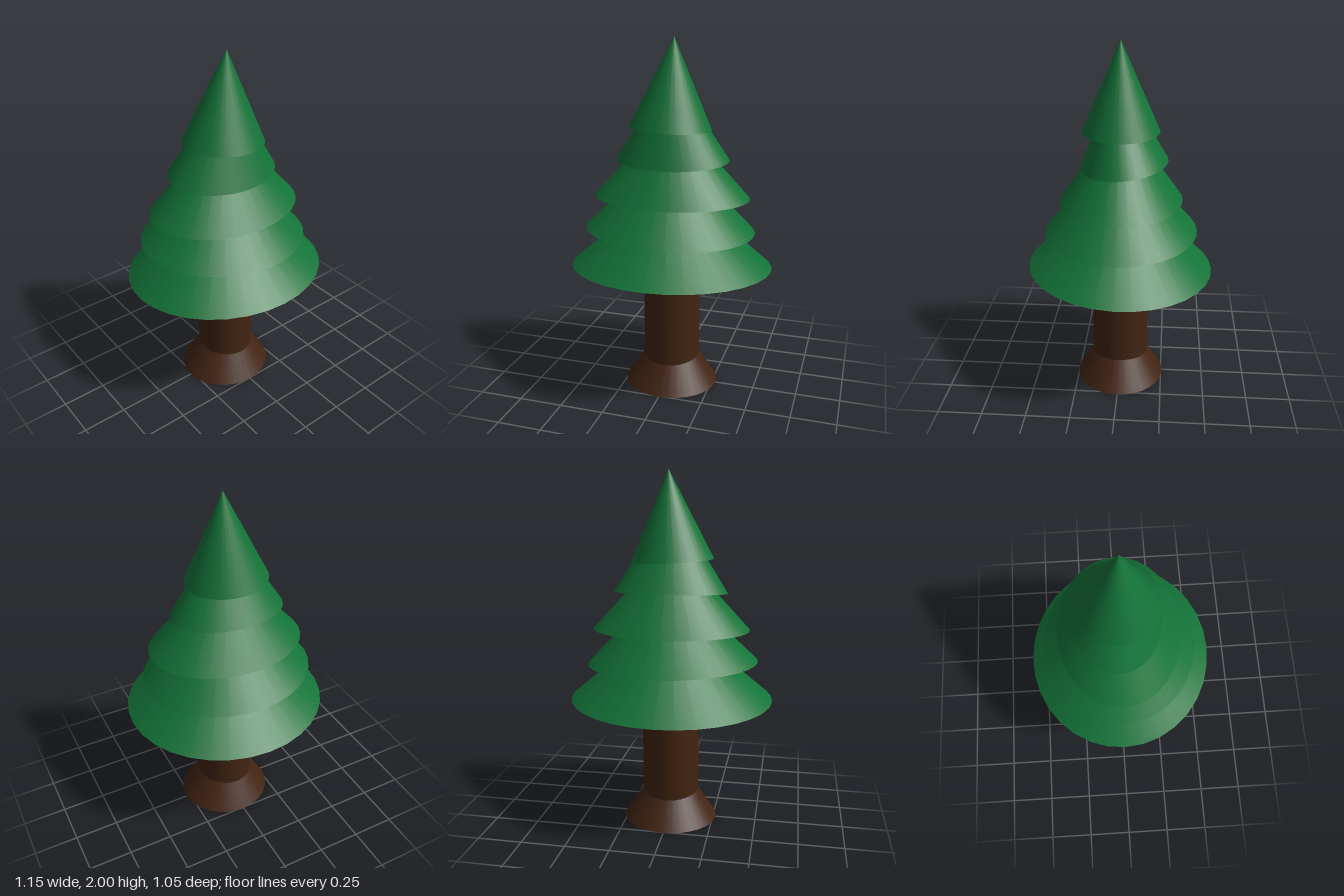
import * as THREE from 'three';

export function createModel() {
  const tree = new THREE.Group();
  tree.name = 'pineTree';
  const bark = new THREE.MeshStandardMaterial({ color: 0x432412 });
  const needles = new THREE.MeshStandardMaterial({ color: 0x137338 });

  const add = (name, geometry, material, position) => {
    const mesh = new THREE.Mesh(geometry, material);
    mesh.name = name;
    mesh.position.set(...position);
    tree.add(mesh);
    return mesh;
  };

  // Straight trunk, reaching into the lowest tier
  add('trunk', new THREE.CylinderGeometry(0.162, 0.162, 0.78, 32).translate(0, 0.39, 0), bark, [0.003, 0.01, 0]);

  // Flared root collar, slightly wider than deep
  const roots = new THREE.CylinderGeometry(0.16, 0.27, 0.17, 32).translate(0, 0.085, 0);
  roots.scale(1, 1, 0.95);
  add('rootFlare', roots, bark, [0.003, 0, 0]);

  // Foliage tiers: oval cones, each tipped a little off level
  const tiers = [
    { rx: 0.576, rz: 0.526, h: 0.49, at: [0, 0.73, 0], tilt: [-0.038, 0.003] },
    { rx: 0.483, rz: 0.432, h: 0.48, at: [-0.008, 0.942, -0.004], tilt: [0, -0.026] },
    { rx: 0.442, rz: 0.343, h: 0.48, at: [0, 1.13, -0.005], tilt: [0, 0] },
    { rx: 0.32, rz: 0.243, h: 0.5, at: [0, 1.336, -0.022], tilt: [0.0875, 0] },
    { rx: 0.229, rz: 0.213, h: 0.486, at: [-0.007, 1.514, -0.003], tilt: [0, -0.044] },
  ];
  tiers.forEach(({ rx, rz, h, at, tilt }, i) => {
    const cone = new THREE.ConeGeometry(1, h, 32).translate(0, h / 2, 0);
    cone.scale(rx, 1, rz);
    add(`foliageTier${i + 1}`, cone, needles, at).rotation.set(tilt[0], 0, tilt[1]);
  });

  return tree;
}
